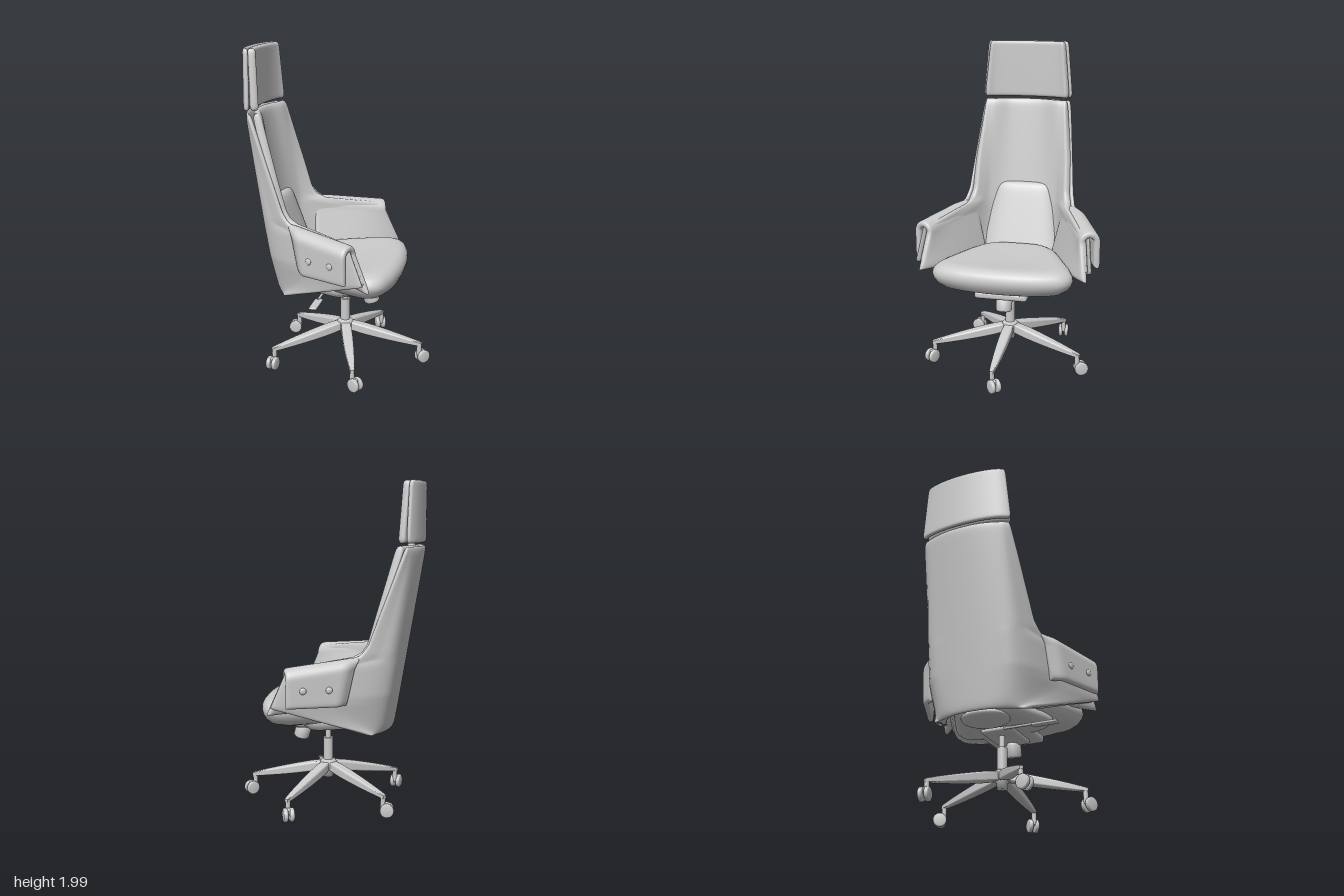
import * as THREE from 'three';
import { mergeVertices } from 'three/addons/utils/BufferGeometryUtils.js';
import { RoundedBoxGeometry } from 'three/addons/geometries/RoundedBoxGeometry.js';

const V = (x, y, z) => new THREE.Vector3(x, y, z);
const { lerp, clamp, smoothstep } = THREE.MathUtils;
const material = new THREE.MeshStandardMaterial({ color: 0xcccccc, roughness: 0.7 });

function add(parent, name, geometry, x = 0, y = 0, z = 0) {
  const mesh = new THREE.Mesh(geometry, material);
  mesh.name = name;
  mesh.position.set(x, y, z);
  parent.add(mesh);
  return mesh;
}

const lathe = (profile, n) => new THREE.LatheGeometry(profile.map(p => new THREE.Vector2(...p)), n);

// Linear interpolation in a short table of [key, value] pairs
function table(rows, k) {
  for (let i = 1; i < rows.length; i++) {
    const [a, p] = rows[i - 1], [b, q] = rows[i];
    if (k <= b) return lerp(p, q, Math.max(0, (k - a) / (b - a)));
  }
  return rows[rows.length - 1][1];
}

function build(points, index) {
  let g = new THREE.BufferGeometry();
  g.setAttribute('position', new THREE.Float32BufferAttribute(points.flatMap(p => [p.x, p.y, p.z]), 3));
  g.setIndex(index);
  g = mergeVertices(g, 1e-5);
  g.computeVertexNormals();
  return g;
}

// Padded sheet: surface f(u, v), u and v in -1..1, thickened between two
// offsets along its normal and closed with rounded edges
function pad(f, o0, o1, nu = 48, nv = 40, n = 30) {
  const points = [], index = [], e = 1e-3;
  const at = (i, c) => Math.sin((i / c - 0.5) * Math.PI);
  for (const side of [1, -1]) {
    const base = points.length;
    for (let j = 0; j <= nv; j++) for (let i = 0; i <= nu; i++) {
      const u = at(i, nu), v = at(j, nv);
      const cu = clamp(u, -1 + e, 1 - e), cv = clamp(v, -1 + e, 1 - e);
      const normal = f(cu + e, cv).sub(f(cu - e, cv)).cross(f(cu, cv + e).sub(f(cu, cv - e))).normalize();
      const round = Math.sqrt(Math.max(0, (1 - Math.abs(u) ** n) * (1 - Math.abs(v) ** n)));
      points.push(f(u, v).addScaledVector(normal, (o0 + o1) / 2 + side * round * (o1 - o0) / 2));
    }
    for (let j = 0; j < nv; j++) for (let i = 0; i < nu; i++) {
      const a = base + j * (nu + 1) + i, b = a + 1, c = b + nu + 1, d = c - 1;
      index.push(...(side > 0 ? [a, b, c, a, c, d] : [a, c, b, a, d, c]));
    }
  }
  return build(points, index);
}

// Stacked copies of a closed outline: rings of [scale, y], bottom to top
function stack(outline, rings, cx) {
  const n = outline.length, index = [];
  const points = rings.flatMap(([s, y]) => outline.map(p => V(cx + (p.x - cx) * s, y, p.z * s)));
  for (let j = 0; j < rings.length - 1; j++) for (let i = 0; i < n; i++) {
    const a = j * n + i, b = j * n + (i + 1) % n;
    index.push(a, b, b + n, a, b + n, a + n);
  }
  return build(points, index);
}

// U-shaped plan curve at height y, from the -z tip round the back to the +z
// tip, through half of its [x, z] points
function section(xb, half, y, u) {
  const pts = [...half.map(([x, z]) => V(x, y, -z)).reverse(), V(xb, y, 0), ...half.map(([x, z]) => V(x, y, z))];
  return new THREE.CatmullRomCurve3(pts, false, 'centripetal').getPoint((u + 1) / 2);
}

const tipX = [[0.5, -0.29], [0.7, 0.26], [0.92, 0.17], [0.94, 0.05], [0.965, -0.17], [0.995, -0.235], [1.05, -0.275], [1.62, -0.485]];
const tipZ = [[0.5, 0.29], [0.54, 0.34], [0.7, 0.545], [0.92, 0.515], [0.94, 0.465], [0.965, 0.375], [0.995, 0.355], [1.05, 0.34], [1.62, 0.283]];
const cornerZ = [[0.5, 0.22], [0.75, 0.265], [1, 0.265], [1.62, 0.235]];

// Backrest surface; inner = 0 for the shell, 1 for the cushion in front of it
const backSurface = (y0, y1, inner) => (u, v) => {
  const y = lerp(y0, y1, (v + 1) / 2);
  const xs = -0.37 - (y - 0.5) * 0.165, xb = xs + 0.047 * inner;
  const xc = xs + lerp(0.055, 0.045, clamp(y - 0.6, 0, 1)) + 0.052 * inner, zc = table(cornerZ, y) - 0.03 * inner;
  const xf = table(tipX, y) + inner * 0.038 * clamp((y - 1) / 0.62, 0, 1);
  const zf = table(tipZ, y) - inner * lerp(0.03, 0.012, smoothstep(y, 0.95, 1.3));
  const half = [[lerp(xb, xc, 0.25), zc * 0.55], [xc, zc], [lerp(xc, xf, 0.5), lerp(zc, zf, 0.55)], [xf, zf]];
  return section(xb, half, y, u * (1 - 0.05 * Math.abs(v) ** 40));
};

// Headrest surface, gently curved in plan with rounded corners
const headSurface = inner => (u, v) => {
  const t = (v + 1) / 2;
  const xb = -0.553 + 0.045 * inner, xf = lerp(-0.49, -0.5, t) + inner * lerp(0.043, 0.028, t);
  const zf = lerp(0.295, 0.262, t) - 0.018 * inner;
  const half = [[lerp(xb, xf, 0.18), zf * 0.5], [lerp(xb, xf, 0.55), zf * 0.82], [xf, zf]];
  return section(xb, half, lerp(1.64, 2, t), u * (1 - 0.08 * Math.abs(v) ** 16));
};

// Arm upholstery folded over the side of the shell; side is +1 or -1
const armZ = x => 0.365 + 0.42 * (x + 0.2);
const armSurface = side => (u, v) => {
  const t = (u + 1) / 2, r = 0.046, a = Math.abs(v);
  const yc = lerp(0.92, 0.868, t);
  const fold = clamp(v / 0.4, -1, 1), sweep = fold * Math.PI / 2;
  const drop = Math.max(0, (a - 0.4) / 0.6);
  const y = lerp(yc + r * Math.cos(sweep), v < 0 ? 0.65 : 0.705, drop);
  const start = lerp(-0.27, -0.2, (fold + 1) / 2) + (v > 0 ? 0.045 * drop : 0);
  const end = 0.18 + (v < 0 ? 0.088 * drop : 0);
  const x = lerp(start, end, t);
  // The flap rises out of the shell at the rear; the inner face swells toward the seat
  const off = r * Math.sin(sweep) * (v > 0 ? lerp(0.15, 1.05, smoothstep(t, 0, 0.2)) : 1)
    - (v < 0 ? 0.07 * drop * (1 - t ** 4) : 0);
  return V(x - 0.39 * off, y, side * (armZ(x) + 0.92 * off));
};

function addBase(group) {
  const base = new THREE.Group();
  base.name = 'starBase';
  base.position.x = 0.03;
  group.add(base);
  add(base, 'hub', lathe([[0, 0.15], [0.03, 0.15], [0.035, 0.19], [0.055, 0.21], [0.055, 0.245], [0.04, 0.265], [0, 0.265]], 32));
  add(base, 'columnSleeve', new THREE.CylinderGeometry(0.031, 0.031, 0.16, 32), 0, 0.325);
  add(base, 'gasLift', new THREE.CylinderGeometry(0.018, 0.018, 0.15, 24), 0, 0.46);
  for (let i = 0; i < 5; i++) {
    const leg = new THREE.Group();
    leg.name = 'baseLeg';
    leg.rotation.y = i * Math.PI * 2 / 5;
    base.add(leg);
    // Leg tapering outward and sloping down
    const g = new RoundedBoxGeometry(0.5, 1, 1, 4, 0.24);
    const p = g.attributes.position;
    for (let k = 0; k < p.count; k++) {
      const t = p.getX(k) / 0.5 + 0.5;
      p.setXYZ(k, 0.02 + t * 0.482, lerp(0.228, 0.132, t) + p.getY(k) * lerp(0.078, 0.034, t), p.getZ(k) * lerp(0.08, 0.04, t));
    }
    g.computeVertexNormals();
    add(leg, 'legBar', g);
    // Twin-wheel caster
    const caster = new THREE.Group();
    caster.name = 'caster';
    caster.position.set(0.485, 0, 0);
    caster.rotation.y = 0.75;
    leg.add(caster);
    add(caster, 'casterStem', new THREE.CylinderGeometry(0.015, 0.015, 0.075, 16), 0, 0.1);
    add(caster, 'casterHousing', new RoundedBoxGeometry(0.055, 0.04, 0.022, 2, 0.009), 0.015, 0.068);
    for (const s of [-1, 1]) {
      const wheel = add(caster, 'wheel', lathe([[0, -0.014], [0.034, -0.014], [0.042, -0.008], [0.042, 0.008], [0.034, 0.014], [0, 0.014]], 24),
        0.025, 0.049, s * 0.019);
      wheel.rotation.x = Math.PI / 2;
    }
  }
}

export function createModel() {
  const group = new THREE.Group();
  group.name = 'officeChair';

  // Backrest and headrest, each an outer shell with an inner cushion
  add(group, 'backShell', pad(backSurface(0.5, 1.62, 0), -0.012, 0.016, 64, 100));
  add(group, 'backCushion', pad(backSurface(0.54, 1.625, 1), -0.026, 0.026, 64, 90));
  add(group, 'headrestShell', pad(headSurface(0), -0.012, 0.016));
  add(group, 'headrestCushion', pad(headSurface(1), -0.022, 0.024));

  // Lumbar cushion, wider and thicker toward the seat, its sides sinking into the back
  add(group, 'lumbarCushion', pad((u, v) => {
    const t = (v + 1) / 2;
    return V(lerp(-0.19, -0.362, t) - 0.06 * u ** 4, lerp(0.6, 1.1, t), u * lerp(0.3, 0.23, t));
  }, 0, 0.1, 40, 30, 12));

  // Folded arm upholstery with two buttons on each outer flap
  for (const side of [1, -1]) {
    add(group, side > 0 ? 'leftArm' : 'rightArm', pad(armSurface(side), -0.021, 0.021, 40, 56));
    for (const x of [-0.05, 0.09]) {
      const button = add(group, 'armButton', new THREE.SphereGeometry(0.02, 20, 12), x - 0.027, 0.81, side * (armZ(x) + 0.064));
      button.scale.z = 0.45;
      button.rotation.y = -side * 0.4;
    }
  }

  // Seat cushion and the pan below it
  const half = [[-0.25, 0.17], [-0.18, 0.25], [-0.1, 0.298], [0.05, 0.365], [0.18, 0.418], [0.27, 0.436], [0.335, 0.4], [0.38, 0.29], [0.402, 0.16]];
  const outline = new THREE.CatmullRomCurve3([V(-0.265, 0, 0), ...half.map(([x, z]) => V(x, 0, z)), V(0.41, 0, 0),
    ...half.map(([x, z]) => V(x, 0, -z)).reverse()], true, 'centripetal').getPoints(100).slice(0, -1);
  add(group, 'seatCushion', stack(outline, [[0, 0.54], [0.5, 0.54], [0.72, 0.548], [0.86, 0.566], [0.94, 0.592], [0.985, 0.622], [1, 0.645],
    [0.99, 0.668], [0.96, 0.687], [0.91, 0.703], [0.84, 0.714], [0.72, 0.718], [0.5, 0.712], [0, 0.705]], 0.1));
  const pan = add(group, 'seatPan', stack(outline, [[0, 0.505], [0.5, 0.505], [0.62, 0.515], [0.7, 0.54], [0.72, 0.58], [0, 0.6]], 0.1));
  pan.position.x = -0.15;

  // Tilt mechanism, tension knob and height lever
  add(group, 'mechanismPlate', new RoundedBoxGeometry(0.45, 0.05, 0.33, 4, 0.02), 0.08, 0.527);
  add(group, 'mechanismHousing', new RoundedBoxGeometry(0.3, 0.04, 0.2, 3, 0.015), 0.08, 0.5);
  add(group, 'tiltBracket', new THREE.SphereGeometry(1, 32, 16), -0.2, 0.515, 0).scale.set(0.13, 0.042, 0.15);
  const knob = add(group, 'tensionKnob',
    lathe([[0, -0.05], [0.04, -0.05], [0.05, -0.038], [0.05, 0.025], [0.034, 0.035], [0.034, 0.06], [0, 0.06]], 24), 0.195, 0.445, 0);
  knob.rotation.z = 0.25;
  const rod = add(group, 'leverRod', new THREE.CylinderGeometry(0.008, 0.008, 0.2, 12), -0.08, 0.485, 0.16);
  rod.rotation.x = Math.PI / 2;
  add(group, 'leverPaddle', new RoundedBoxGeometry(0.05, 0.016, 0.16, 3, 0.007), -0.08, 0.478, 0.32);

  addBase(group);
  return group;
}
